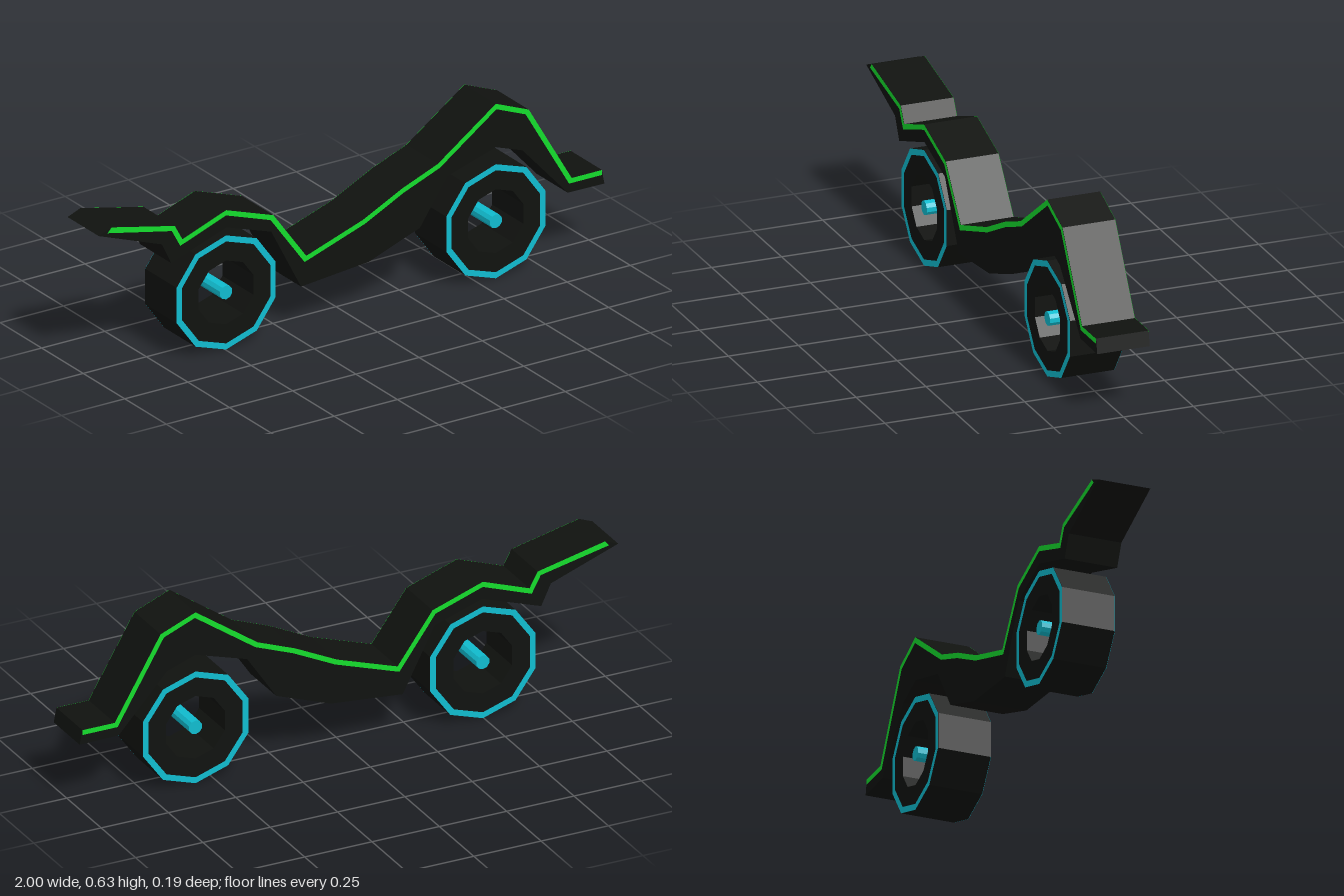
import * as THREE from 'three';

const HALF = 0.095;   // half depth
const SKIN = 0.001;   // how far the coloured trim stands off the dark parts

const mat = (color) => new THREE.MeshStandardMaterial({ color, flatShading: true, side: THREE.DoubleSide });
const dark = mat(0x10120f);
const green = mat(0x14dc2c);
const cyan = mat(0x10bccf);

const v = ([x, y]) => new THREE.Vector2(x, y);

// Upper edge of the body, tail to nose
const top = [
  [-0.95, 0.55], [-0.7, 0.495], [-0.67, 0.44], [-0.497, 0.503], [-0.31, 0.44],
  [-0.18, 0.262], [0.045, 0.338], [0.2, 0.414], [0.34, 0.468], [0.57, 0.63],
  [0.7, 0.578], [0.87, 0.29], [0.99, 0.29],
].map(v);

// Lower edge of the body, nose back to tail
const bottom = [
  [1, 0.238], [0.855, 0.24], [0.676, 0.436], [0.57, 0.473], [0.378, 0.414],
  [0.27, 0.254], [0.067, 0.18], [-0.2, 0.155], [-0.318, 0.382], [-0.495, 0.44],
  [-0.714, 0.364], [-0.75, 0.44], [-1, 0.53],
].map(v);

// Mitred copy of a line, shifted to its lower side
function shiftDown(line, d) {
  return line.map((p, i) => {
    const side = (a, b) => { const e = b.clone().sub(a).normalize(); return new THREE.Vector2(e.y, -e.x); };
    const n1 = side(line[Math.max(i - 1, 0)], line[Math.max(i, 1)]);
    const last = line.length - 1;
    const n2 = side(line[Math.min(i, last - 1)], line[Math.min(i + 1, last)]);
    const m = n1.clone().add(n2).normalize();
    return p.clone().addScaledVector(m, d / m.dot(n1));
  });
}

// Ten-sided outline with a corner pointing up
function decagon(r) {
  return Array.from({ length: 10 }, (_, i) => {
    const a = Math.PI / 2 + (i * Math.PI) / 5;
    return new THREE.Vector2(r * Math.cos(a), r * Math.sin(a));
  });
}

function ring(outer, inner) {
  const s = new THREE.Shape(decagon(outer));
  s.holes.push(new THREE.Path(decagon(inner)));
  return s;
}

function add(parent, name, geometry, material) {
  const m = new THREE.Mesh(geometry, material);
  m.name = name;
  parent.add(m);
  return m;
}

// Dark slab cut to a shape, centred on z = 0
function slab(shape) {
  const depth = 2 * (HALF - SKIN);
  return new THREE.ExtrudeGeometry(shape, { depth, bevelEnabled: false }).translate(0, 0, -depth / 2);
}

// The same flat trim on the front and back faces
function trim(parent, name, shape) {
  const front = new THREE.ShapeGeometry(shape);
  add(parent, name + 'Front', front, green).position.z = HALF;
  add(parent, name + 'Back', front, green).position.z = -HALF;
}

function wheel(name, x) {
  const g = new THREE.Group();
  g.name = name;
  g.position.set(x, 0.206, 0);
  add(g, 'tyre', slab(ring(0.206, 0.115)), dark);
  trim(g, 'tyreRim', ring(0.206, 0.184));
  g.children.slice(1).forEach((m) => { m.material = cyan; });
  add(g, 'axle', new THREE.CylinderGeometry(0.025, 0.025, 2 * HALF, 10).rotateX(Math.PI / 2), cyan);
  return g;
}

export function createModel() {
  const model = new THREE.Group();
  model.name = 'buggy';

  add(model, 'body', slab(new THREE.Shape([...top, ...bottom])), dark);

  // Bright stripe along the upper edge
  const lower = shiftDown(top, 0.018);
  lower[0].x -= 0.012;
  trim(model, 'stripe', new THREE.Shape([...top, ...lower.reverse()]));

  model.add(wheel('rearWheel', -0.497), wheel('frontWheel', 0.57));
  return model;
}
